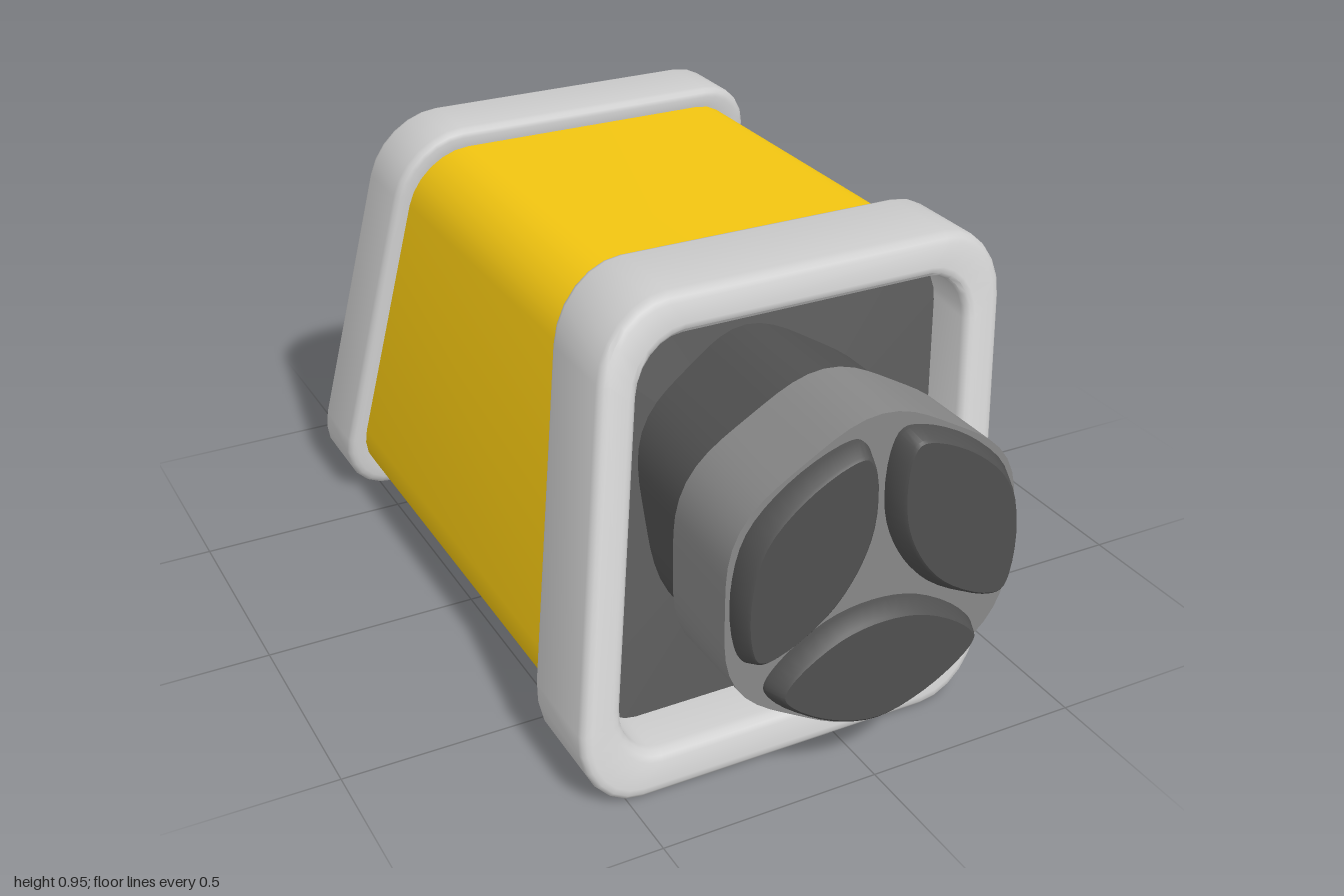
import * as THREE from 'three';
import { toCreasedNormals } from 'three/addons/utils/BufferGeometryUtils.js';

const MID = 0.478;    // height of the long axis
const SHEAR = 0.26;   // sideways lean of the cross-section
const SLANT = 0.378;  // backward lean of the front opening

// Leaning rounded rectangle, counter-clockwise seen from the front
function section(w, h, r, z, slant = 0) {
  const pts = [], steps = 6;
  [[1, 1], [-1, 1], [-1, -1], [1, -1]].forEach(([sx, sy], q) => {
    for (let i = 0; i <= steps; i++) {
      const a = (q + i / steps) * Math.PI / 2;
      const x = sx * (w - r) + r * Math.cos(a);
      const y = sy * (h - r) + r * Math.sin(a);
      pts.push(new THREE.Vector3(x + SHEAR * y, y + MID, z - slant * y));
    }
  });
  return pts;
}

// Skin over rings that run from back to front; either capped or joined end to end
function loft(rings, closed = false, crease = 0.6) {
  const pos = [], n = rings[0].length;
  const tri = (...v) => v.forEach(p => pos.push(p.x, p.y, p.z));
  const last = closed ? rings.length : rings.length - 1;
  for (let i = 0; i < last; i++) {
    const A = rings[i], B = rings[(i + 1) % rings.length];
    for (let j = 0; j < n; j++) {
      const k = (j + 1) % n;
      tri(A[j], A[k], B[k]);
      tri(A[j], B[k], B[j]);
    }
  }
  if (!closed) {
    [rings[0], rings[rings.length - 1]].forEach((ring, end) => {
      const c = ring.reduce((s, p) => s.add(p), new THREE.Vector3()).divideScalar(n);
      for (let j = 0; j < n; j++) {
        const k = (j + 1) % n;
        if (end) tri(c, ring[j], ring[k]);
        else tri(c, ring[k], ring[j]);
      }
    });
  }
  const g = new THREE.BufferGeometry();
  g.setAttribute('position', new THREE.Float32BufferAttribute(pos, 3));
  return toCreasedNormals(g, crease);
}

// Hollow frame with softened edges
function collar(zBack, zFront, inW, inH, slant = 0) {
  const outW = 0.494, outH = 0.475, b = 0.022, rings = [];
  const corner = (inner, z, dz, flip) => {
    for (let i = 0; i <= 3; i++) {
      const a = (flip ? 3 - i : i) / 3 * Math.PI / 2;
      const inset = b * (1 - Math.cos(a)), depth = z + dz * b * (1 - Math.sin(a));
      rings.push(inner
        ? section(inW + inset, inH + inset, 0.1 + inset, depth, slant)
        : section(outW - inset, outH - inset, 0.15 - inset, depth, slant));
    }
  };
  corner(false, zBack, 1, true);
  corner(false, zFront, -1, false);
  corner(true, zFront, -1, true);
  corner(true, zBack, 1, false);
  return loft(rings, true, 0.8);
}

// Softly six-cornered ring for the lens barrel
function hexRing(scale, z) {
  return Array.from({ length: 60 }, (_, i) => {
    const a = i / 60 * Math.PI * 2;
    const r = scale * (0.351 - 0.01 * Math.cos(6 * a));
    return new THREE.Vector3(r * Math.cos(a), MID + r * Math.sin(a), z);
  });
}

// Almond-shaped lens ring, relative to the barrel axis, turned about it
const half = [[0.12, -0.312], [0.225, -0.24], [0.25, -0.2], [0.222, -0.155], [0.11, -0.085]];
const almond = new THREE.CatmullRomCurve3([
  [0, -0.345], ...half, [0, -0.066], ...half.map(([x, y]) => [-x, y]).reverse(),
].map(([x, y]) => new THREE.Vector3(x, y, 0)), true).getPoints(48).slice(0, 48);

function lensRing(inset, z, turn) {
  const axis = new THREE.Vector3(0, 0, 1);
  return almond.map(p => {
    const v = new THREE.Vector3(p.x * (1 - inset / 0.25), -0.205 + (p.y + 0.205) * (1 - inset / 0.14), 0);
    v.applyAxisAngle(axis, turn);
    return v.set(v.x, v.y + MID, z);
  });
}

export function createModel() {
  const model = new THREE.Group();
  model.name = 'lamp';
  const mat = color => new THREE.MeshStandardMaterial({ color });
  const yellow = mat(0xf2c511), grey = mat(0xcccccc), mid = mat(0x888888), dark = mat(0x505050);
  const add = (name, geometry, material) => {
    const mesh = new THREE.Mesh(geometry, material);
    mesh.name = name;
    model.add(mesh);
  };

  // Housing: straight at the back, slanted at the front
  add('body', loft([section(0.455, 0.43, 0.13, -0.72), section(0.455, 0.43, 0.13, 0.5, SLANT)]), yellow);
  add('rearCap', loft([
    section(0.165, 0.16, 0.035, -1), section(0.44, 0.42, 0.11, -0.805), section(0.44, 0.42, 0.11, -0.75),
  ], false, 0.45), yellow);

  // Frames
  add('rearCollar', collar(-0.815, -0.61, 0.425, 0.408), grey);
  add('frontCollar', collar(0.43, 0.672, 0.405, 0.39, SLANT), grey);
  add('frontPanel', loft([
    section(0.42, 0.405, 0.1, 0.46, SLANT), section(0.42, 0.405, 0.1, 0.545, SLANT),
  ]), dark);

  // Lens barrel
  add('barrel', loft([hexRing(0.905, 0.38), hexRing(0.905, 0.76)]), dark);
  add('barrelHead', loft([hexRing(1, 0.735), hexRing(1, 0.95)]), mid);
  for (let i = 0; i < 3; i++) {
    const turn = i * Math.PI * 2 / 3;
    add('lens' + (i + 1), loft([
      lensRing(0, 0.93, turn), lensRing(0, 0.96, turn), lensRing(0.016, 0.995, turn), lensRing(0.022, 1, turn),
    ], false, 0.5), dark);
  }
  return model;
}
